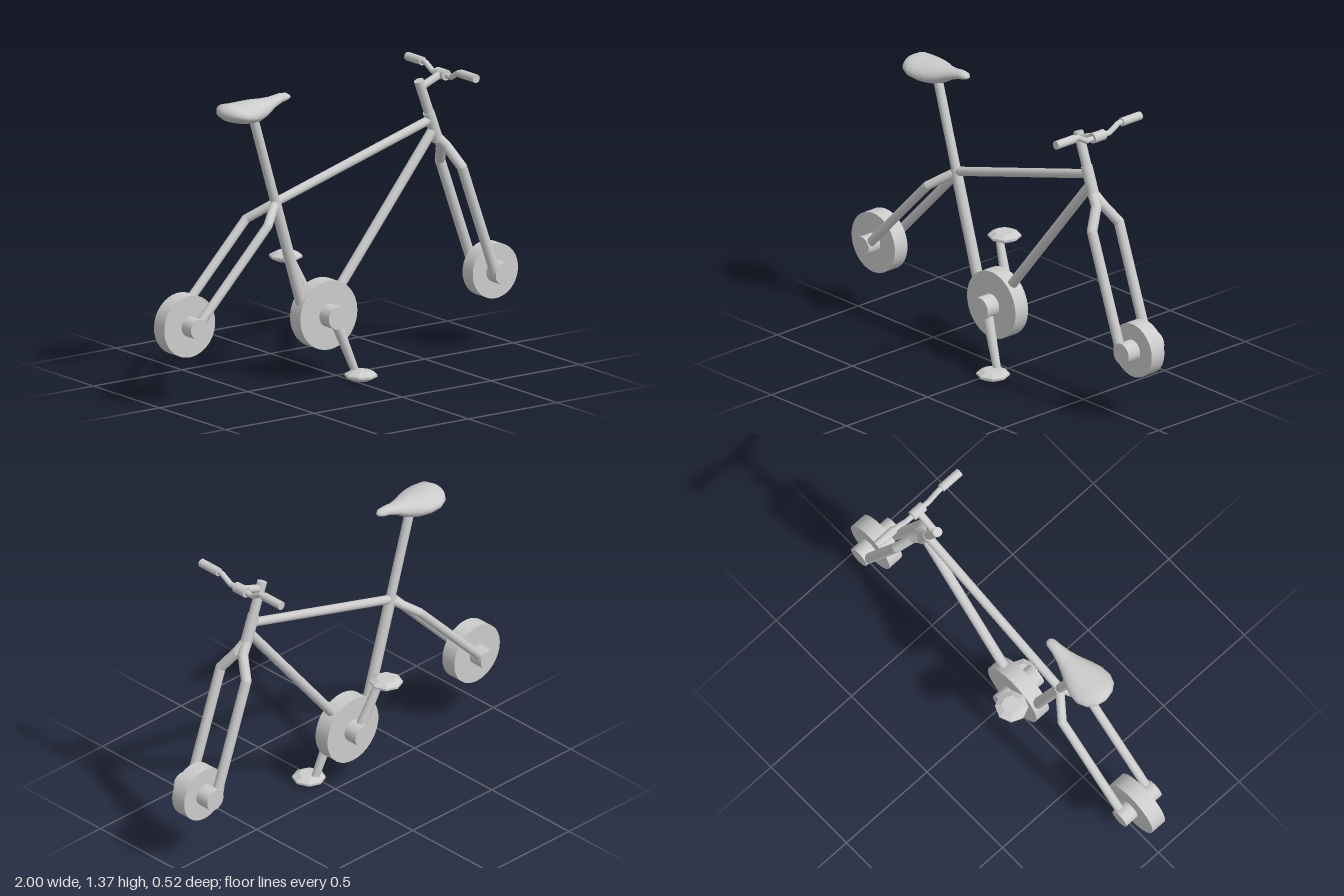
import * as THREE from 'three';

const material = new THREE.MeshStandardMaterial({ color: 0xcccccc });
const flatMaterial = new THREE.MeshStandardMaterial({ color: 0xcccccc, flatShading: true });
const UP = new THREE.Vector3(0, 1, 0);

function add(parent, name, geometry, mat = material) {
  const mesh = new THREE.Mesh(geometry, mat);
  mesh.name = name;
  parent.add(mesh);
  return mesh;
}

// Straight round bar from a to b, with radius ra at a and rb at b
function rod(parent, name, a, b, ra, rb = ra) {
  const start = new THREE.Vector3(...a), end = new THREE.Vector3(...b);
  const dir = end.clone().sub(start);
  const mesh = add(parent, name, new THREE.CylinderGeometry(rb, ra, dir.length(), 20));
  mesh.position.copy(start).addScaledVector(dir, 0.5);
  mesh.quaternion.setFromUnitVectors(UP, dir.normalize());
  return mesh;
}

// Bent bar: rods joined by round elbows
function bentBar(parent, name, points, r) {
  const group = new THREE.Group();
  group.name = name;
  parent.add(group);
  points.slice(1).forEach((p, i) => {
    rod(group, name + 'Section', points[i], p, r);
    if (i < points.length - 2) {
      add(group, name + 'Elbow', new THREE.SphereGeometry(r, 20, 12)).position.set(...p);
    }
  });
}

// Solid disc with a hub running through it along z
function wheel(parent, name, x, y, radius, hubRadius) {
  const group = new THREE.Group();
  group.name = name;
  group.position.set(x, y, 0);
  parent.add(group);
  add(group, 'disc', new THREE.CylinderGeometry(radius, radius, 0.078, 56)).rotation.x = Math.PI / 2;
  add(group, 'hub', new THREE.CylinderGeometry(hubRadius, hubRadius, 0.22, 32)).rotation.x = Math.PI / 2;
}

// Saddle lofted through rounded cross-sections along x
function saddleGeometry() {
  // x, half width, bottom y, top y
  const stations = [
    [-0.65, 0.012, 1.318, 1.338], [-0.64, 0.052, 1.302, 1.352], [-0.615, 0.085, 1.286, 1.366],
    [-0.57, 0.103, 1.274, 1.362], [-0.52, 0.1, 1.267, 1.364], [-0.47, 0.083, 1.267, 1.367],
    [-0.42, 0.06, 1.282, 1.365], [-0.37, 0.04, 1.312, 1.366], [-0.32, 0.028, 1.331, 1.374],
    [-0.285, 0.024, 1.338, 1.372], [-0.268, 0.012, 1.345, 1.36],
  ];
  const ring = 24, positions = [], index = [];
  for (const [x, w, low, high] of stations) {
    const mid = low + (high - low) * 0.45;
    for (let j = 0; j < ring; j++) {
      const t = (j / ring) * Math.PI * 2, s = Math.sin(t);
      positions.push(x, mid + s * (s > 0 ? high - mid : mid - low), Math.cos(t) * w);
    }
  }
  for (let i = 0; i < stations.length - 1; i++) {
    for (let j = 0; j < ring; j++) {
      const a = i * ring + j, b = i * ring + (j + 1) % ring;
      index.push(a, a + ring, b, b, a + ring, b + ring);
    }
  }
  // End caps
  const last = (stations.length - 1) * ring;
  for (let j = 1; j < ring - 1; j++) {
    index.push(0, j, j + 1, last, last + j + 1, last + j);
  }
  const geometry = new THREE.BufferGeometry();
  geometry.setAttribute('position', new THREE.Float32BufferAttribute(positions, 3));
  geometry.setIndex(index);
  geometry.computeVertexNormals();
  return geometry;
}

export function createModel() {
  const bike = new THREE.Group();
  bike.name = 'bicycle';

  // Wheels and chainring
  wheel(bike, 'rearWheel', -0.858, 0.374, 0.144, 0.046);
  wheel(bike, 'frontWheel', 0.869, 0.372, 0.128, 0.051);
  wheel(bike, 'chainring', -0.072, 0.308, 0.161, 0.053);

  // Frame tubes
  rod(bike, 'seatPost', [-0.475, 1.3, 0], [-0.34, 0.85, 0], 0.022);
  rod(bike, 'seatTube', [-0.35, 0.88, 0], [-0.185, 0.33, 0], 0.026);
  rod(bike, 'topTube', [-0.345, 0.869, 0], [0.53, 1.124, 0], 0.021);
  rod(bike, 'downTube', [0.55, 1.08, 0], [-0.03, 0.36, 0], 0.023);
  rod(bike, 'headTube', [0.52, 1.16, 0], [0.572, 1.02, 0], 0.027);

  // Paired seat stays and fork legs
  for (const s of [1, -1]) {
    bentBar(bike, s > 0 ? 'leftSeatStay' : 'rightSeatStay',
      [[-0.345, 0.868, 0], [-0.45, 0.79, s * 0.083], [-0.835, 0.39, s * 0.083]], 0.021);
    bentBar(bike, s > 0 ? 'leftForkLeg' : 'rightForkLeg',
      [[0.56, 1.045, 0], [0.607, 0.99, s * 0.02], [0.647, 0.9, s * 0.083], [0.835, 0.375, s * 0.083]], 0.024);
  }

  // Steering column, stem and handlebar
  rod(bike, 'steerer', [0.465, 1.315, 0], [0.54, 1.11, 0], 0.023);
  rod(bike, 'stem', [0.482, 1.285, 0], [0.596, 1.33, 0], 0.018);
  rod(bike, 'barClamp', [0.596, 1.327, -0.035], [0.596, 1.327, 0.035], 0.025);
  for (const s of [1, -1]) {
    bentBar(bike, 'handlebar',
      [[0.596, 1.325, 0], [0.596, 1.325, s * 0.07], [0.596, 1.356, s * 0.125], [0.596, 1.356, s * 0.16]], 0.013);
    rod(bike, 'grip', [0.596, 1.356, s * 0.145], [0.596, 1.356, s * 0.26], 0.02);
  }

  // Cranks and faceted pedals
  const pedal = new THREE.LatheGeometry(
    [[0, -0.022], [0.045, -0.022], [0.076, -0.005], [0.076, 0.005], [0.045, 0.022], [0, 0.022]]
      .map(([x, y]) => new THREE.Vector2(x, y)), 8);
  rod(bike, 'leftCrank', [-0.062, 0.288, 0.075], [0.035, 0.035, 0.1], 0.026, 0.018);
  rod(bike, 'rightCrank', [-0.08, 0.328, -0.075], [-0.177, 0.56, -0.108], 0.026, 0.018);
  add(bike, 'leftPedal', pedal, flatMaterial).position.set(0.04, 0.03, 0.132);
  add(bike, 'rightPedal', pedal, flatMaterial).position.set(-0.18, 0.565, -0.143);

  add(bike, 'saddle', saddleGeometry());
  return bike;
}
